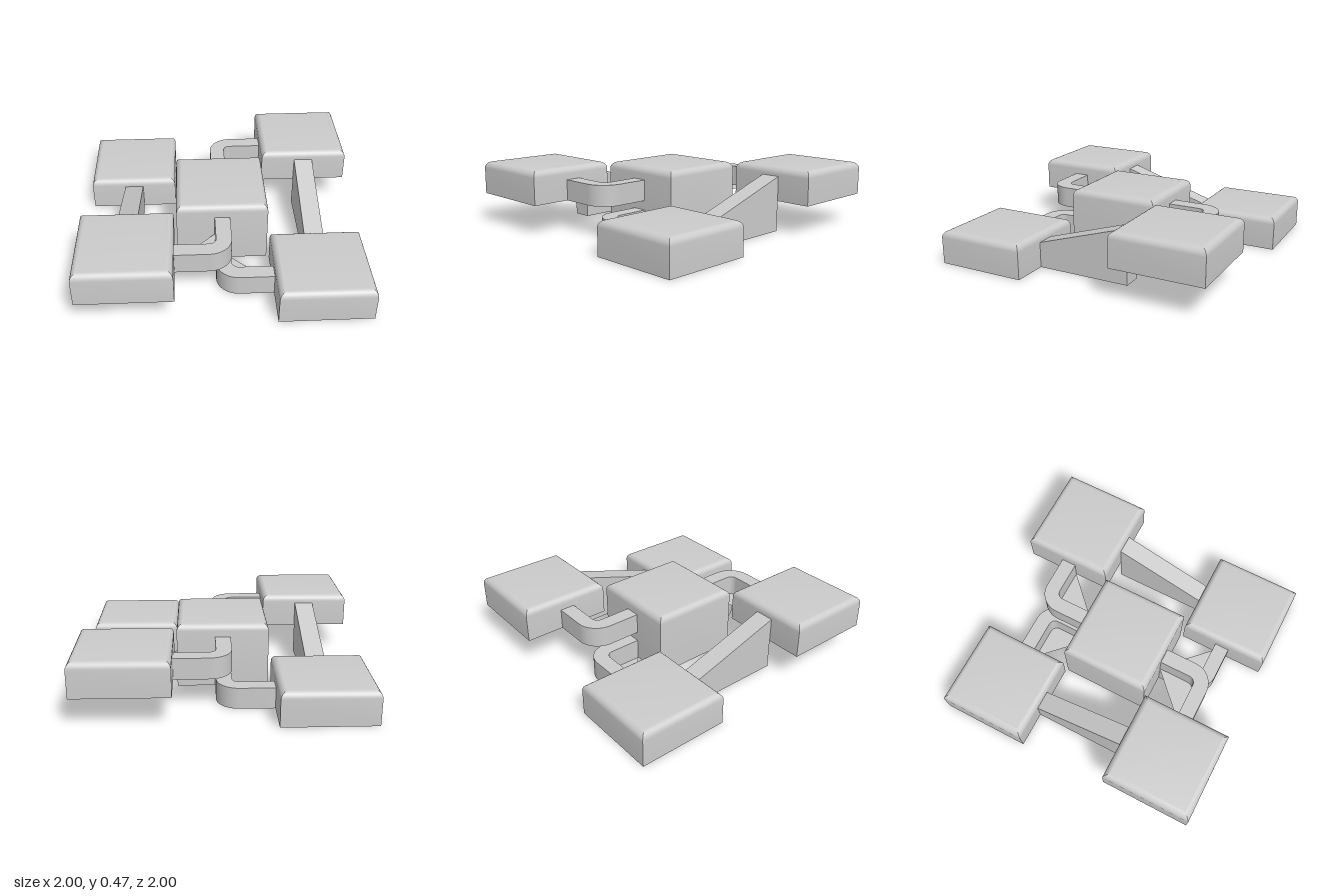
import * as THREE from 'three';
import { toCreasedNormals } from 'three/addons/utils/BufferGeometryUtils.js';

const grey = new THREE.MeshStandardMaterial({ color: 0xcccccc });
const greyThin = new THREE.MeshStandardMaterial({ color: 0xcccccc, side: THREE.DoubleSide });

function add(parent, name, geometry, material = grey) {
  const mesh = new THREE.Mesh(geometry, material);
  mesh.name = name;
  parent.add(mesh);
  return mesh;
}

// Square block with sharp upright edges and rounded top edges
function blockGeometry(size, height, bevel = 0.05) {
  const half = size / 2;
  const profile = [new THREE.Vector2(0, 0), new THREE.Vector2(half, 0)];
  for (let i = 0; i <= 6; i++) {
    const a = (i / 6) * Math.PI / 2;
    profile.push(new THREE.Vector2(half - bevel + bevel * Math.cos(a), height - bevel + bevel * Math.sin(a)));
  }
  profile.push(new THREE.Vector2(0, height));
  profile.forEach((p) => { p.x *= Math.SQRT2; });
  return toCreasedNormals(new THREE.LatheGeometry(profile, 4).rotateY(Math.PI / 4), 0.5);
}

// Plan outlines (x, z), mirrored in x by side
function mirrored(shape, side) {
  return new THREE.Shape(shape.getPoints(10).map((p) => new THREE.Vector2(p.x * side, p.y)));
}

function bendOutline(side) {
  const s = new THREE.Shape();
  s.moveTo(-0.055, 0.325);
  s.lineTo(-0.055, 0.56);
  s.absarc(0.105, 0.56, 0.16, Math.PI, Math.PI / 2, true);
  s.lineTo(0.345, 0.72);
  s.lineTo(0.345, 0.61);
  s.lineTo(0.105, 0.61);
  s.absarc(0.105, 0.56, 0.05, Math.PI / 2, Math.PI, false);
  s.lineTo(0.055, 0.325);
  return mirrored(s, side);
}

function webOutline(side) {
  const s = new THREE.Shape();
  s.moveTo(0.055, 0.325);
  s.lineTo(0.345, 0.61);
  s.lineTo(0.105, 0.61);
  s.absarc(0.105, 0.56, 0.05, Math.PI / 2, Math.PI, false);
  return mirrored(s, side);
}

// Curved walkway with a thin floor across its inner corner
function makeWalkway(name, side, base) {
  const group = new THREE.Group();
  group.name = name;
  const height = 0.152;
  const band = new THREE.ExtrudeGeometry(bendOutline(side), { depth: height, bevelEnabled: false });
  band.rotateX(Math.PI / 2).translate(0, height, 0);
  add(group, 'walkwayBand', toCreasedNormals(band, 0.5));
  add(group, 'cornerFloor', new THREE.ShapeGeometry(webOutline(side)).rotateX(Math.PI / 2), greyThin);
  group.position.y = base;
  return group;
}

// Solid ramp rising from the low platform to the high one
function rampGeometry() {
  const s = new THREE.Shape();
  s.moveTo(0.345, 0);
  s.lineTo(0.345, 0.185);
  s.lineTo(-0.345, 0.402);
  s.lineTo(-0.345, 0);
  return new THREE.ExtrudeGeometry(s, { depth: 0.14, bevelEnabled: false })
    .rotateY(-Math.PI / 2).translate(0.74, 0, 0);
}

export function createModel() {
  const model = new THREE.Group();
  model.name = 'platformArena';
  const raised = 0.222;

  add(model, 'centrePlatform', blockGeometry(0.655, 0.467));

  // Each half is the other turned half way round
  const cornerBlock = blockGeometry(0.655, 0.245);
  const ramp = rampGeometry();
  for (const [name, turn] of [['frontHalf', 0], ['backHalf', Math.PI]]) {
    const half = new THREE.Group();
    half.name = name;
    half.rotation.y = turn;

    add(half, 'lowPlatform', cornerBlock).position.set(0.6725, 0, 0.6725);
    add(half, 'highPlatform', cornerBlock).position.set(-0.6725, raised, 0.6725);
    add(half, 'ramp', ramp);
    half.add(makeWalkway('lowWalkway', 1, 0), makeWalkway('highWalkway', -1, raised));
    model.add(half);
  }
  return model;
}
